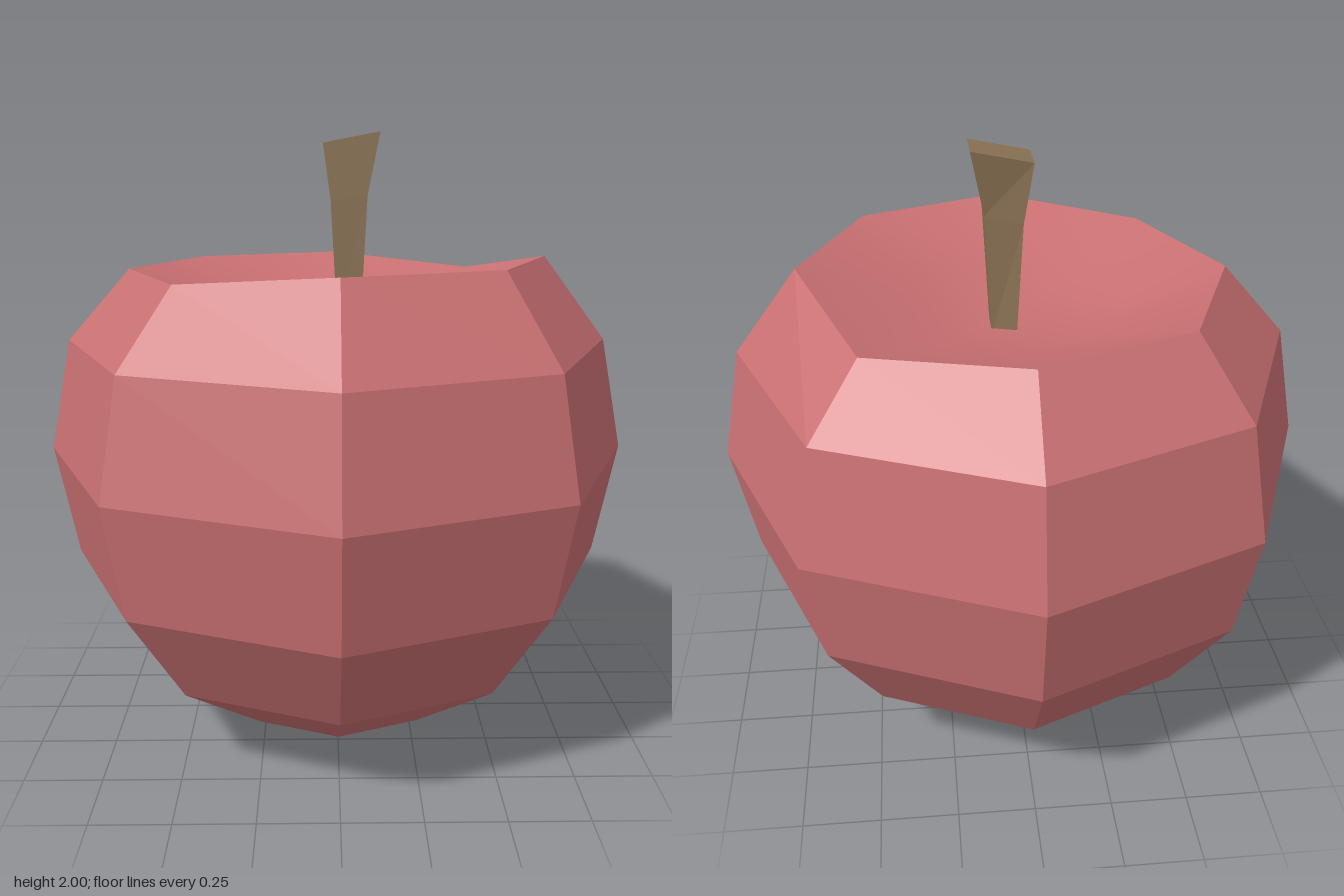
import * as THREE from 'three';
import { mergeVertices } from 'three/addons/utils/BufferGeometryUtils.js';

const R = 0.962; // body radius, also the height of its centre
// Height of the uneven rim at each eighth turn, from +x towards +z
const RIM = [1.605, 1.605, 1.605, 1.565, 1.565, 1.565, 1.565, 1.525];
const RIM_RADIUS = R * Math.SQRT1_2;

// Part of an eight-sided sphere whose crown is pressed into a hollow
function fruitPart(rows, thetaStart, thetaLength) {
  let g = new THREE.SphereGeometry(R, 8, rows, 0, Math.PI * 2, thetaStart, thetaLength);
  g.translate(0, R, 0);
  const p = g.attributes.position;
  for (let i = 0; i < p.count; i++) {
    const x = p.getX(i), z = p.getZ(i), r = Math.hypot(x, z);
    if (p.getY(i) < R + RIM_RADIUS - 0.01) continue;
    const k = (Math.round(Math.atan2(z, x) / (Math.PI / 4)) + 8) % 8;
    if (r > RIM_RADIUS - 0.01) p.setY(i, RIM[k]);
    else p.setY(i, r > 0.1 ? 1.47 + (RIM[k] - 1.58) * 0.5 : 1.42);
  }
  g.deleteAttribute('uv');
  g.deleteAttribute('normal');
  g = mergeVertices(g, 1e-4);
  g.computeVertexNormals();
  return g;
}

// Four-cornered loops, bottom to top, joined by flat walls and capped
function loft(loops) {
  const pos = loops.flat(2), index = [], n = loops.length;
  for (let j = 0; j < n - 1; j++) {
    for (let i = 0; i < 4; i++) {
      const a = j * 4 + i, b = j * 4 + (i + 1) % 4;
      index.push(a, b, b + 4, a, b + 4, a + 4);
    }
  }
  const t = (n - 1) * 4;
  index.push(t, t + 1, t + 2, t, t + 2, t + 3, 0, 2, 1, 0, 3, 2);
  const g = new THREE.BufferGeometry();
  g.setAttribute('position', new THREE.Float32BufferAttribute(pos, 3));
  g.setIndex(index);
  g.computeVertexNormals();
  return g;
}

export function createModel() {
  const group = new THREE.Group();
  group.name = 'apple';
  const add = (name, geometry, color, flatShading) => {
    const mesh = new THREE.Mesh(geometry, new THREE.MeshStandardMaterial({ color, flatShading }));
    mesh.name = name;
    group.add(mesh);
  };

  // Faceted outside and smooth hollow at the top
  add('body', fruitPart(6, Math.PI / 4, Math.PI * 0.75), 0xc97072, true);
  add('hollow', fruitPart(2, 0, Math.PI / 4), 0xc97072, false);

  // Stem: corners run front left, front right, back right, back left on screen
  const stem = loft([
    [[0, 1.41, -0.03], [0.08, 1.41, -0.025], [0.08, 1.41, -0.115], [0.005, 1.41, -0.15]],
    [[-0.02, 1.78, -0.025], [0.1, 1.8, -0.02], [0.1, 1.8, -0.13], [-0.015, 1.78, -0.157]],
    [[-0.045, 1.965, -0.025], [0.14, 2, -0.018], [0.14, 2, -0.157], [-0.045, 1.965, -0.165]],
  ]);
  add('stem', stem, 0x8b7355, true);
  return group;
}
